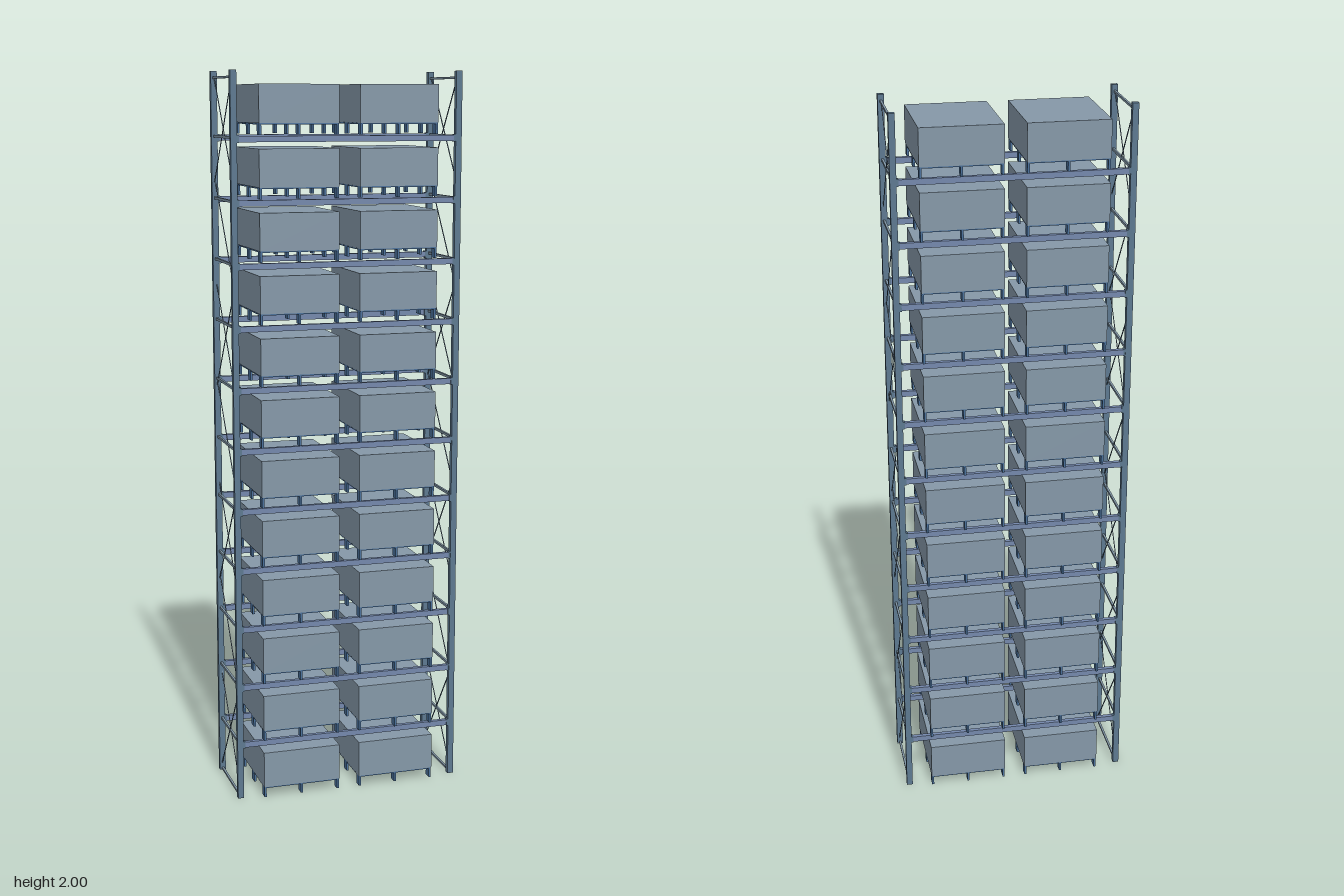
import * as THREE from 'three';

const LEVELS = 12, PITCH = 1 / 6;
const POST_X = 0.313, POST_Z = 0.11;

const paint = (color) => new THREE.MeshStandardMaterial({ color, flatShading: true });
const frameMat = paint(0x5d7990);
const strutMat = paint(0x7f94a4);
const beamMat = paint(0x7488ac);
const palletMat = paint(0x4a709a);
const cargoMat = paint(0x8598a8);

function box(parent, name, mat, w, h, d, x, y, z) {
  const mesh = new THREE.Mesh(new THREE.BoxGeometry(w, h, d), mat);
  mesh.name = name;
  mesh.position.set(x, y, z);
  parent.add(mesh);
  return mesh;
}

// Thin bar across the depth of an upright frame, from (z0, y0) to (z1, y1)
function brace(parent, name, x, z0, y0, z1, y1) {
  const length = Math.hypot(z1 - z0, y1 - y0);
  const bar = box(parent, name, frameMat, 0.002, 0.003, length, x, (y0 + y1) / 2, (z0 + z1) / 2);
  bar.rotation.x = -Math.atan2(y1 - y0, z1 - z0);
}

// Two posts with horizontal struts and alternating cross / single bracing
function uprightFrame(side) {
  const g = new THREE.Group();
  g.name = side > 0 ? 'leftUprightFrame' : 'rightUprightFrame';
  const x = side * POST_X, zi = POST_Z - 0.007;
  for (const s of [-1, 1]) box(g, 'post', frameMat, 0.017, 2, 0.015, x, 1, s * POST_Z);
  for (let i = 1; i < LEVELS; i++) box(g, 'strut', strutMat, 0.006, 0.007, 2 * zi, x, i * PITCH - 0.007, 0);
  box(g, 'bottomStrut', strutMat, 0.006, 0.006, 2 * zi, x, 0.005, 0);
  box(g, 'topStrut', strutMat, 0.006, 0.006, 2 * zi, x, 1.982, 0);
  const panels = 7, y0 = 0.022, step = (1.98 - y0) / panels;
  for (let i = 0; i < panels; i++) {
    const a = y0 + i * step, b = a + step;
    brace(g, 'diagonalBrace', x + 0.0015, zi, a, -zi, b);
    if (i % 2 === 0) brace(g, 'crossBrace', x - 0.0015, -zi, a, zi, b);
  }
  return g;
}

// Front and back load beams with end connectors
function beamPair(y) {
  const g = new THREE.Group();
  g.name = 'beamLevel';
  for (const s of [-1, 1]) {
    box(g, 'beam', beamMat, 0.604, 0.016, 0.012, 0, y - 0.011, s * POST_Z);
    for (const e of [-1, 1]) box(g, 'beamConnector', frameMat, 0.005, 0.02, 0.014, e * 0.302, y - 0.011, s * POST_Z);
  }
  return g;
}

// Pallet on nine feet with a slatted deck, carrying one block of goods
function loadedPallet(x, y) {
  const g = new THREE.Group();
  g.name = 'loadedPallet';
  g.position.set(x, y, 0);
  for (const fx of [-0.106, 0, 0.106])
    for (const fz of [-0.117, 0, 0.117]) box(g, 'palletFoot', palletMat, 0.006, 0.027, 0.024, fx, 0.0125, fz);
  for (let i = 0; i < 7; i++) box(g, 'deckBoard', palletMat, 0.218, 0.004, 0.032, 0, 0.0275, -0.114 + i * 0.038);
  box(g, 'cargo', cargoMat, 0.22, 0.101, 0.263, 0, 0.0795, 0);
  return g;
}

export function createModel() {
  const root = new THREE.Group();
  root.name = 'palletRack';
  root.add(uprightFrame(1), uprightFrame(-1));
  for (let i = 0; i < LEVELS; i++) {
    if (i > 0) root.add(beamPair(i * PITCH));
    for (const s of [-1, 1]) root.add(loadedPallet(s * 0.139, i * PITCH + 0.001));
  }
  return root;
}
